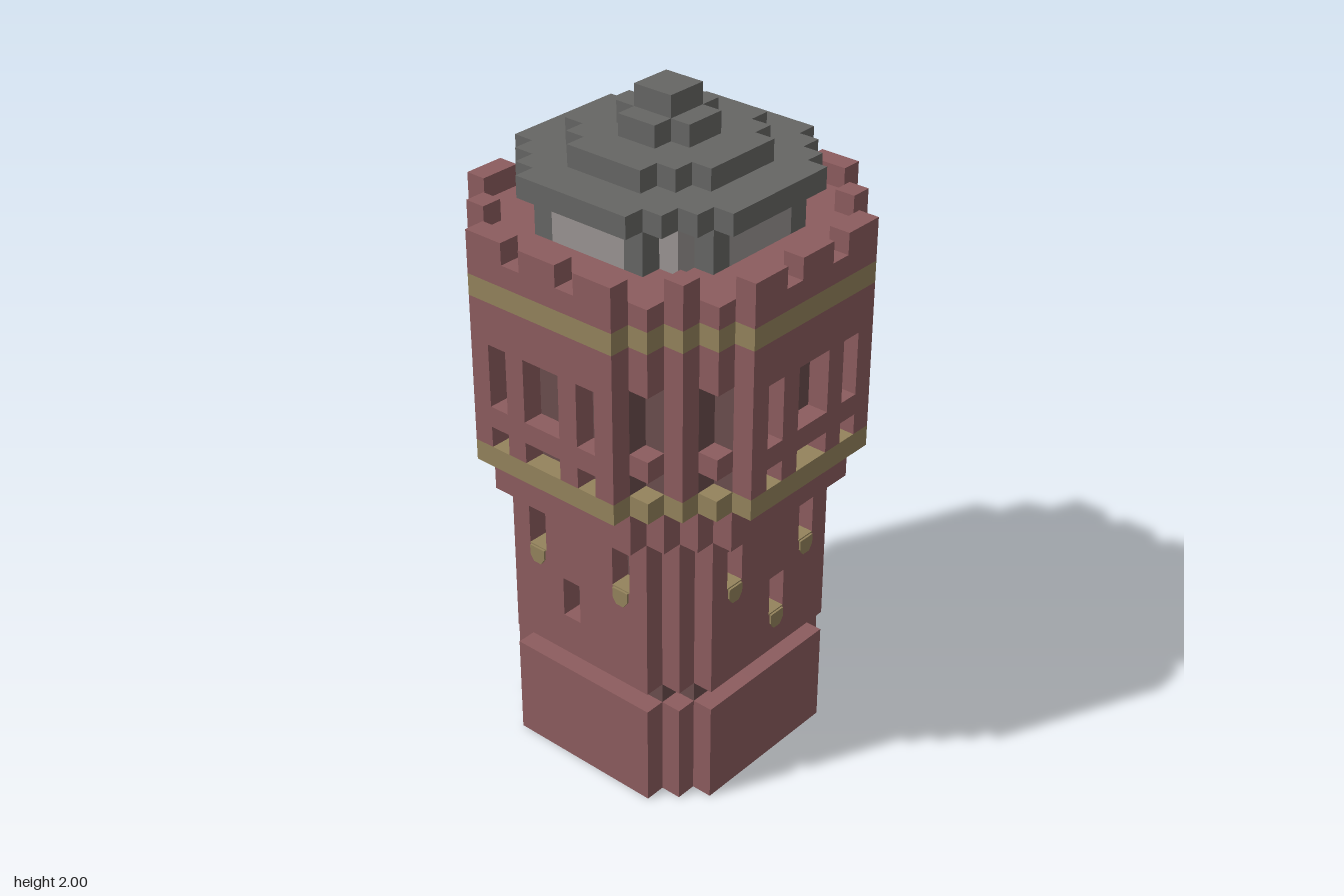
import * as THREE from 'three';

const U = 1 / 16; // block size

const mat = (name, color) => {
  const m = new THREE.MeshStandardMaterial({ color });
  m.name = name;
  return m;
};

// Stepped round footprints: half depth of each column, counted from the middle
const DISC = {
  8: [8, 8, 8, 8, 7, 6, 5, 4],
  7: [7, 7, 7, 7, 6, 5, 4],
  6: [6, 6, 6, 6, 5, 4],
  5: [5, 5, 5, 5, 4],
  lantern: [5, 5, 5, 4, 3],
  eave: [6, 6, 6, 5, 4, 3],
  roof: [4, 4, 3, 2],
  cap: [2, 1],
  finial: [1],
};
const fold = (c) => (c < 0 ? -1 - c : c);
const inside = (key, x, z) => fold(z) < (DISC[key][fold(x)] ?? 0);

// Small window niches on each side of the shaft
function isNiche(x, y, z) {
  const onZ = fold(z) === 5;
  if (!onZ && fold(x) !== 5) return false;
  const u = onZ ? (z > 0 ? x : -1 - x) : (x > 0 ? z : -1 - z);
  if (y === 11 || y === 12) return u === -3 || u === 2;
  return (y === 8 || y === 9) && u === -1;
}

// Which part fills a block, or null when it is empty
function partAt(x, y, z) {
  const disc = (key, part) => (inside(key, x, z) ? part : null);
  const low = Math.min(fold(x), fold(z));
  if (y < 0 || y > 31) return null;
  if (y < 5) return disc(6, 'base');
  if (y < 6) return disc(5, 'neck');
  if (y < 14) {
    if (inside(5, x, z)) return 'shaftNiches';
    return isNiche(x, y, z) ? null : disc(6, 'shaft');
  }
  if (y < 16) return disc(7, 'corbel');
  if (y === 16) return disc(8, 'lowerBand');
  if (y < 24) {
    if (inside(7, x, z)) return 'drumWindows';
    const open = y === 17 || (y >= 19 && y <= 21);
    return open && low % 2 === 0 ? null : disc(8, 'drum');
  }
  if (y === 24) return disc(8, 'upperBand');
  if (y === 25) return disc(8, 'parapet');
  if (y < 28) {
    if (inside('lantern', x, z)) {
      return low === 2 && fold(x) + fold(z) === 6 ? 'lanternPillars' : 'lanternGlass';
    }
    // Merlons along the rim
    const rim = y === 26 && !inside(7, x, z) && low !== 1 && low !== 4;
    return rim ? disc(8, 'merlons') : null;
  }
  if (y === 28) return disc('eave', 'roofEave');
  if (y === 29) return disc('roof', 'roofTier');
  if (y === 30) return disc('cap', 'roofCap');
  return disc('finial', 'finial');
}

// Outward directions with two edge axes whose cross product is the direction
const SIDES = [
  [[1, 0, 0], [0, 1, 0], [0, 0, 1]],
  [[-1, 0, 0], [0, 0, 1], [0, 1, 0]],
  [[0, 1, 0], [0, 0, 1], [1, 0, 0]],
  [[0, -1, 0], [1, 0, 0], [0, 0, 1]],
  [[0, 0, 1], [1, 0, 0], [0, 1, 0]],
  [[0, 0, -1], [0, 1, 0], [1, 0, 0]],
];

export function createModel() {
  const model = new THREE.Group();
  model.name = 'waterTower';

  const brick = mat('brick red', 0x8c5c5e);
  const dark = mat('dark recess', 0x6b4d4d);
  const gold = mat('ochre', 0x94835c);
  const slate = mat('slate grey', 0x666664);
  const glass = mat('pale glass', 0x9a9492);
  const materials = {
    base: brick, neck: dark, shaft: brick, shaftNiches: dark, corbel: brick,
    lowerBand: gold, drum: brick, drumWindows: dark, upperBand: gold,
    parapet: brick, merlons: brick, lanternPillars: slate, lanternGlass: glass,
    roofEave: slate, roofTier: slate, roofCap: slate, finial: slate,
  };

  // Collect the exposed block faces of every part
  const faces = {};
  for (let y = 0; y < 32; y++) for (let x = -8; x < 8; x++) for (let z = -8; z < 8; z++) {
    const part = partAt(x, y, z);
    if (!part) continue;
    const f = (faces[part] ??= { pos: [], nor: [], idx: [] });
    for (const [n, a, b] of SIDES) {
      if (partAt(x + n[0], y + n[1], z + n[2])) continue;
      const start = f.pos.length / 3;
      for (const [s, t] of [[0, 0], [1, 0], [1, 1], [0, 1]]) {
        [x, y, z].forEach((c, i) => f.pos.push((c + Math.max(n[i], 0) + s * a[i] + t * b[i]) * U));
        f.nor.push(...n);
      }
      f.idx.push(start, start + 1, start + 2, start, start + 2, start + 3);
    }
  }
  for (const [name, f] of Object.entries(faces)) {
    const g = new THREE.BufferGeometry();
    g.setAttribute('position', new THREE.Float32BufferAttribute(f.pos, 3));
    g.setAttribute('normal', new THREE.Float32BufferAttribute(f.nor, 3));
    g.setIndex(f.idx);
    const mesh = new THREE.Mesh(g, materials[name]);
    mesh.name = name;
    model.add(mesh);
  }

  // Ochre sills with a small tapered apron below the niches
  const apron = new THREE.Shape([
    [-0.027, 0], [-0.027, -0.03], [-0.013, -0.05], [0.013, -0.05], [0.027, -0.03], [0.027, 0],
  ].map(([x, y]) => new THREE.Vector2(x, y)));
  const apronGeo = new THREE.ExtrudeGeometry(apron, { depth: 0.006, bevelEnabled: false });
  const sillGeo = new THREE.BoxGeometry(U, 0.004, U);
  for (let side = 0; side < 4; side++) {
    const wall = new THREE.Group();
    wall.name = 'nicheSills';
    wall.rotation.y = side * Math.PI / 2;
    const spots = [[-2.5, 11], [2.5, 11]];
    if (side % 2) spots.push([0.5, 8]);
    for (const [x, y] of spots) {
      const plate = new THREE.Mesh(apronGeo, gold);
      plate.name = 'sillApron';
      plate.position.set(x * U, y * U, 6 * U);
      const sill = new THREE.Mesh(sillGeo, gold);
      sill.name = 'sill';
      sill.position.set(x * U, y * U + 0.002, 5.5 * U);
      wall.add(plate, sill);
    }
    model.add(wall);
  }
  return model;
}
